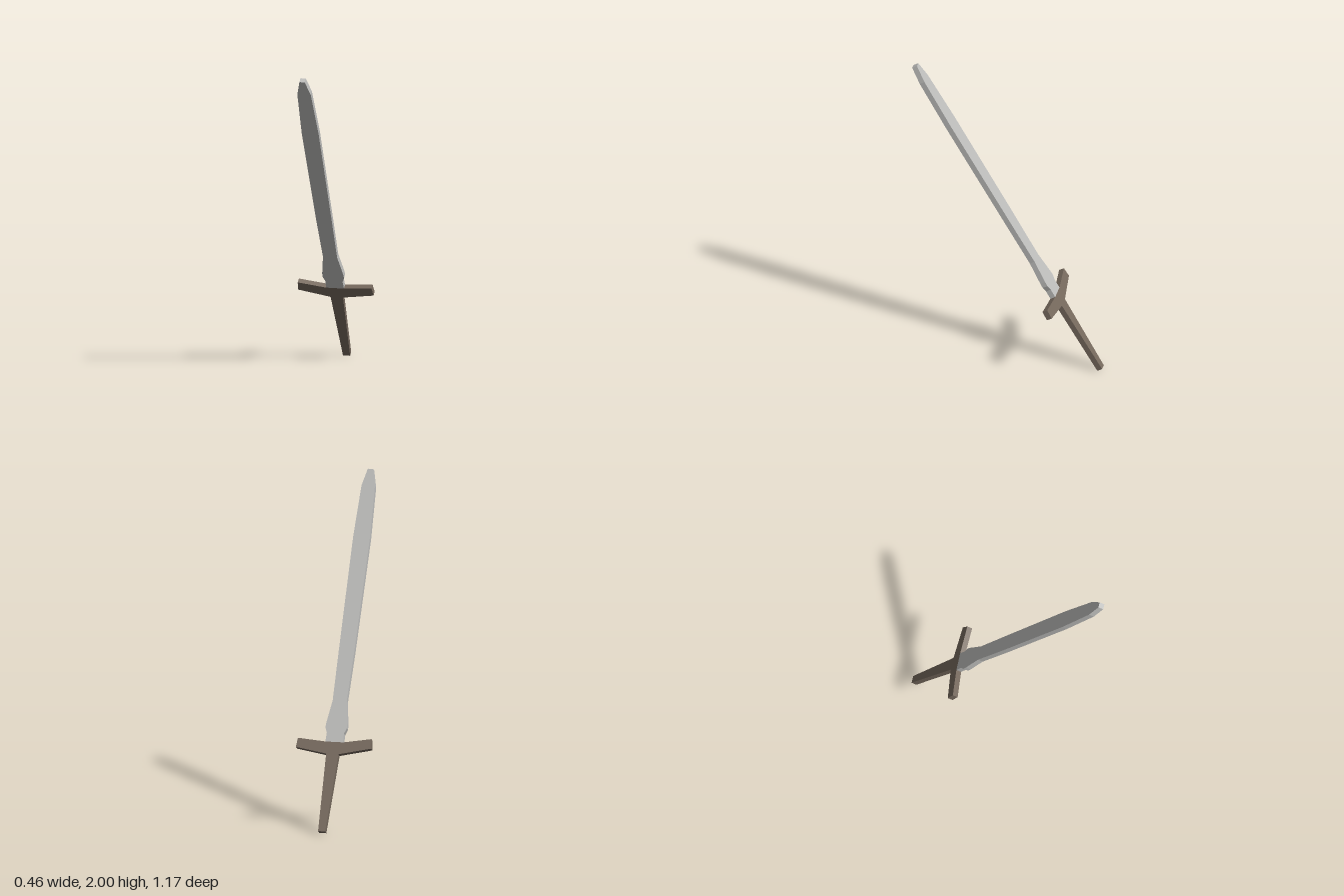
import * as THREE from 'three';

const THICKNESS = 0.034;

// Flat plate cut from an outline, centred on its thickness
function plate(name, outline, material) {
  const shape = new THREE.Shape(outline.map(([x, y]) => new THREE.Vector2(x, y)));
  const geometry = new THREE.ExtrudeGeometry(shape, { depth: THICKNESS, bevelEnabled: false });
  geometry.translate(0, 0, -THICKNESS / 2);
  const mesh = new THREE.Mesh(geometry, material);
  mesh.name = name;
  return mesh;
}

export function createModel() {
  const steel = new THREE.MeshStandardMaterial({ color: 0xbfbfbd });
  steel.name = 'steel';
  const wood = new THREE.MeshStandardMaterial({ color: 0x776a5e });
  wood.name = 'brown wood';

  // Blade stations from base to tip: [height, left edge, right edge]
  const stations = [
    [-0.58, -0.055, 0.055],
    [-0.525, -0.053, 0.053],
    [-0.49, -0.067, 0.066],
    [-0.46, -0.065, 0.064],
    [-0.32, -0.044, 0.043],
    [0, -0.05, 0.046],
    [0.715, -0.054, 0.05],
    [1.04, -0.043, 0.04],
    [1.145, -0.018, 0.015],
  ];
  const bladeOutline = [
    ...stations.map(([y, , right]) => [right, y]),
    ...stations.map(([y, left]) => [left, y]).reverse(),
  ];

  // Slightly lopsided crossguard with arms swept toward the blade
  const guardOutline = [
    [-0.036, -0.656], [0.04, -0.656], [0.232, -0.624], [0.226, -0.566],
    [0.055, -0.58], [-0.055, -0.58], [-0.226, -0.55], [-0.232, -0.61],
  ];

  // Grip narrowing to the pommel end
  const gripOutline = [
    [-0.017, -1.145], [0.027, -1.145], [0.04, -0.656], [-0.036, -0.656],
  ];

  const sword = new THREE.Group();
  sword.name = 'sword';
  sword.add(
    plate('blade', bladeOutline, steel),
    plate('crossguard', guardOutline, wood),
    plate('grip', gripOutline, wood),
  );

  // Lean the whole sword forward
  sword.rotation.x = Math.PI / 6;
  sword.position.y = 1;

  const model = new THREE.Group();
  model.name = 'leaningSword';
  model.add(sword);
  return model;
}
